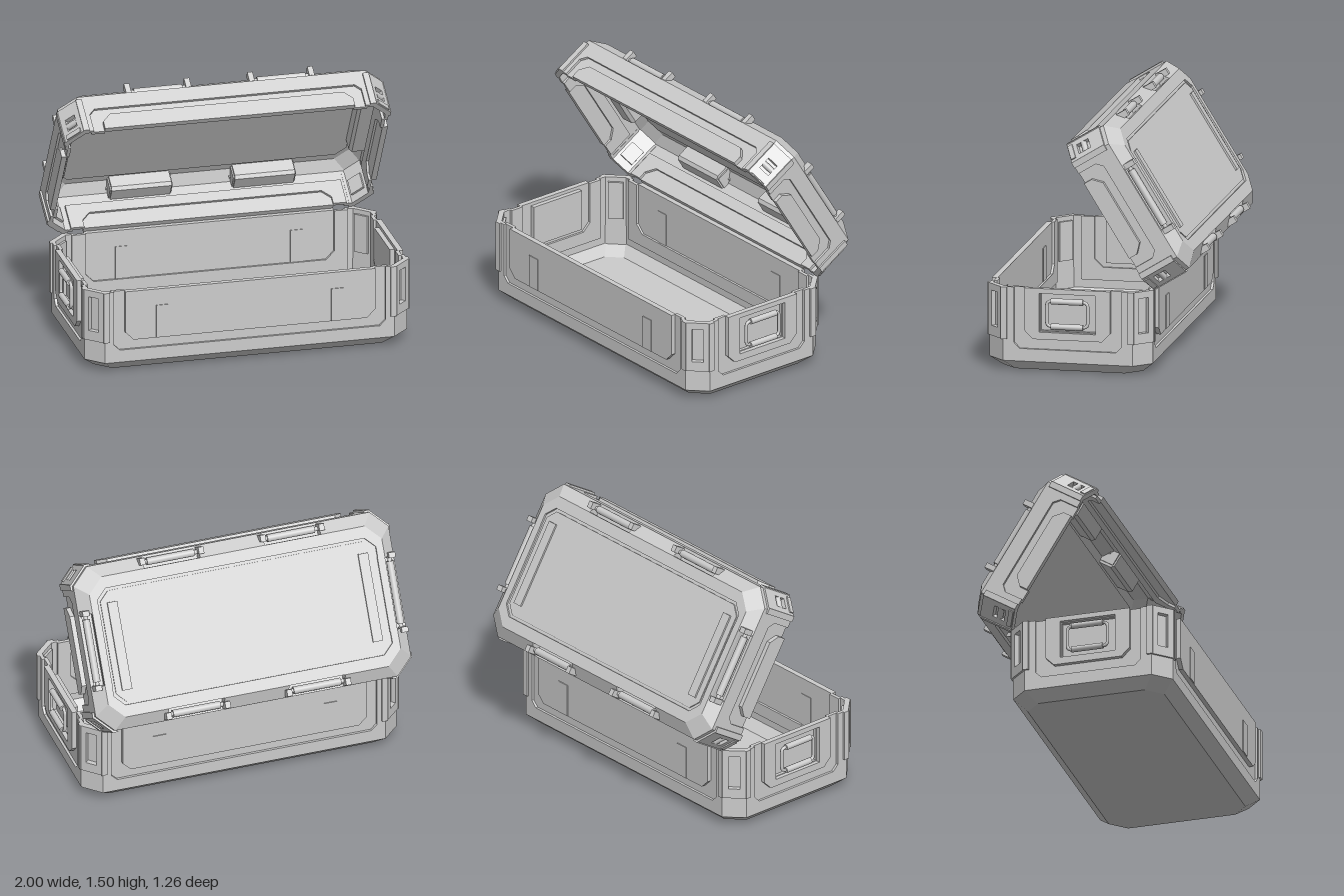
import * as THREE from 'three';
import { ConvexGeometry } from 'three/addons/geometries/ConvexGeometry.js';

const HX = 0.968, HZ = 0.485, C = 0.1;   // half sizes of the wall octagon, corner chamfer
const INSET = 0.07, BEVEL = 0.06;        // sloped edge between wall and floor
const mat = new THREE.MeshStandardMaterial({ color: 0xcccccc });

function add(parent, name, geo, x = 0, y = 0, z = 0) {
  const m = new THREE.Mesh(geo, mat);
  m.name = name;
  m.position.set(x, y, z);
  parent.add(m);
  return m;
}

const toShape = (pts) => new THREE.Shape(pts.map((p) => new THREE.Vector2(...p)));
const rect = (w, y0, y1, cx = 0) => [[cx - w, y0], [cx + w, y0], [cx + w, y1], [cx - w, y1]];
const octagon = (a, b, c) => [[a - c, -b], [a, c - b], [a, b - c], [a - c, b],
  [c - a, b], [-a, b - c], [-a, c - b], [c - a, -b]];

// Flat plate in the xy plane between two depths, optionally with a hole
function plate(pts, z0, z1, hole) {
  const s = toShape(pts);
  if (hole) s.holes.push(toShape(hole));
  const g = new THREE.ExtrudeGeometry(s, { depth: z1 - z0, bevelEnabled: false });
  return g.translate(0, 0, z0);
}

function box(parent, name, x0, x1, y0, y1, z0, z1) {
  return add(parent, name, new THREE.BoxGeometry(x1 - x0, y1 - y0, z1 - z0),
    (x0 + x1) / 2, (y0 + y1) / 2, (z0 + z1) / 2);
}

// Lower outline of a panel that is open at the rim and has clipped bottom corners
const notch = (n, y, ch, H) => [[n, H], [n, y + ch], [n - ch, y], [ch - n, y], [-n, y + ch], [-n, H]];
const uShape = (L, y0, H, n, y, ch) => [[-L, H], [-L, y0], [L, y0], [L, H], ...notch(n, y, ch, H)];

// Extrude a (z, y) profile along x from a to b
function along(pts, a, b) {
  return plate(pts, 0, b - a).rotateY(-Math.PI / 2).translate(b, 0, 0);
}

function grip(parent, name, r, len, x, y, z) {
  add(parent, name, new THREE.CylinderGeometry(r, r, len, 14), x, y, z).rotation.z = Math.PI / 2;
}

// Pocket in the sloped edge with a bar between two tabs
function barPocket(side, cx, w) {
  const a = cx - w, b = cx + w;
  add(side, 'barPocket', along([[-0.07, 0], [-0.08, 0.07], [-0.015, 0.07], [-0.015, 0.12],
    [-0.1, 0.12], [-0.115, 0.1], [-0.115, 0]], a, b));
  for (const x of [a, b]) {
    add(side, 'pocketEnd', along([[-0.1, 0], [-0.07, 0], [0, 0.06], [-0.004, 0.11], [-0.1, 0.11]], x - 0.008, x + 0.008));
    box(side, 'barTab', x - 0.016, x + 0.016, -0.012, 0.06, -0.048, -0.008);
  }
  grip(side, 'bar', 0.013, 2 * w, cx, 0.035, -0.035);
  grip(side, 'barGrip', 0.022, 2 * w - 0.07, cx, 0.035, -0.035);
}

// One side: frame, sunken strip, raised panel and sloped edge; local +z is outward
function buildSide(tray, half, o, dist, angle, pockets, isEnd) {
  const side = new THREE.Group();
  side.name = isEnd ? 'endWall' : 'longWall';
  side.rotation.y = angle;
  side.position.set(Math.sin(angle) * dist, 0, Math.cos(angle) * dist);
  tray.add(side);
  const L = half - C, n1 = L - (isEnd ? 0.065 : 0.053), n2 = n1 - 0.068, H = o.H;
  add(side, 'wallFrame', plate(uShape(L, BEVEL, H, n1, o.y1, 0.035), -0.02, 0));
  add(side, 'sunkenStrip', plate(uShape(n1 + 0.012, o.y1 - 0.012, H, n2, o.y2, 0.05), -0.036, -0.015));
  const hasHandle = isEnd && o.handles;
  add(side, 'raisedPanel', plate(notch(n2 + 0.003, o.y2 - 0.003, 0.05, H), -0.022, 0.011,
    hasHandle && rect(0.168, 0.24, 0.47)));
  for (const s of [-1, 1]) {
    const p = s * (L - 0.007);
    box(side, 'cornerGuardReturn', p - 0.018, p + 0.018, o.postY, H, -0.022, 0.012);
    if (!isEnd && o.handles) box(side, 'panelRib', s * 0.525 - 0.04, s * 0.525 + 0.04, 0.2, 0.4, -0.026, 0.016);
  }
  if (hasHandle) buildHandle(side);

  // Sloped edge, cut into runs between the pockets
  const E0 = half - INSET - 0.09;
  const stops = [[-E0, -L], ...pockets.flatMap(([c, w]) => [[c - w, c - w], [c + w, c + w]]), [E0, L]];
  for (let i = 0; i < stops.length; i += 2) {
    const pts = [stops[i], stops[i + 1]].flatMap(([t, w]) => [
      new THREE.Vector3(t, 0, -INSET), new THREE.Vector3(t, 0.022, -INSET - 0.01),
      new THREE.Vector3(w, BEVEL, 0), new THREE.Vector3(w, BEVEL + 0.012, -0.02)]);
    add(side, 'slopedEdge', new ConvexGeometry(pts));
  }
  pockets.forEach(([c, w]) => barPocket(side, c, w));
}

// Carrying handle in its recess on the end panel
function buildHandle(side) {
  const frame = rect(0.18, 0.23, 0.48);
  add(side, 'handleRecess', plate(frame, -0.05, -0.035));
  add(side, 'recessRim', plate(frame, -0.05, -0.015, rect(0.163, 0.245, 0.465)));
  const path = new THREE.CurvePath();
  const w = 0.122, y0 = 0.278, y1 = 0.428, r = 0.03, z = 0.01;
  const v = (x, y) => new THREE.Vector3(x, y, z);
  const corners = [[w, y0, 1, 1], [w, y1, -1, 0], [-w, y1, 1, 0], [-w, y0, 1, 1]];
  const pts = corners.map(([x, y]) => v(x, y));
  const ends = pts.map((p, i) => {
    const prev = pts[(i + 3) % 4], next = pts[(i + 1) % 4];
    return [prev, next].map((q) => p.clone().add(q.clone().sub(p).setLength(r)));
  });
  ends.forEach(([a, b], i) => {
    path.add(new THREE.QuadraticBezierCurve3(a, pts[i], b));
    path.add(new THREE.LineCurve3(b, ends[(i + 1) % 4][0]));
  });
  add(side, 'handleRing', new THREE.TubeGeometry(path, 80, 0.01, 8, true));
  for (const y of [y0, y1]) grip(side, 'handleGrip', 0.018, 0.19, 0, y, z + 0.004);
}

// Chamfered corner: wall, slotted guard and sloped facet
function buildCorner(tray, o, sx, sz) {
  const corner = new THREE.Group();
  corner.name = 'corner';
  corner.position.set(sx * (HX - C / 2), 0, sz * (HZ - C / 2));
  corner.rotation.y = Math.atan2(sx, sz);
  tray.add(corner);
  const w = C * Math.SQRT1_2, slot = rect(0.034, ...o.slot);
  add(corner, 'cornerWall', plate(rect(w, BEVEL, o.H), -0.02, 0, slot));
  add(corner, 'cornerGuard', plate(rect(w + 0.004, o.postY, o.H), -0.004, 0.012, slot));
  add(corner, 'slotBack', plate(rect(0.045, o.slot[0] - 0.012, o.slot[1] + 0.012), -0.034, -0.018));
  if (!o.handles) {
    grip(corner, 'cornerPin', 0.018, 0.07, 0, (o.slot[0] + o.slot[1]) / 2, -0.004);
    box(corner, 'cornerLug', -0.05, 0.05, o.H - 0.035, o.H - 0.005, 0, 0.02);
  }
  const a = HX - INSET, b = HZ - INSET, V = (x, y, z) => new THREE.Vector3(sx * x, y, sz * z);
  add(tray, 'cornerFacet', new ConvexGeometry([
    V(HX, BEVEL, HZ - C), V(HX - C, BEVEL, HZ), V(a, 0, b - 0.09), V(a - 0.09, 0, b),
    V(HX - 0.02, BEVEL + 0.012, HZ - C), V(HX - C, BEVEL + 0.012, HZ - 0.02),
    V(a - 0.01, 0.022, b - 0.09), V(a - 0.09, 0.022, b - 0.01)]));
}

// Open tray standing on its floor; used upright for the base and flipped for the lid
function buildTray(name, o) {
  const tray = new THREE.Group();
  tray.name = name;
  for (const k of [0, 1]) {
    buildSide(tray, HX, o, HZ, k * Math.PI, o.longPockets, false);
    buildSide(tray, HZ, o, HX, Math.PI / 2 + k * Math.PI, o.endPockets, true);
  }
  for (const sx of [-1, 1]) for (const sz of [-1, 1]) buildCorner(tray, o, sx, sz);
  const edge = octagon(HX - INSET, HZ - INSET, 0.09);
  const flat = (g) => g.rotateX(-Math.PI / 2);
  if (o.handles) {
    add(tray, 'floor', flat(plate(edge, 0, 0.022)));
  } else {
    // Top with a sunken field and two ribs
    add(tray, 'topBorder', flat(plate(edge, 0, 0.022, octagon(0.855, 0.345, 0.06))));
    add(tray, 'topField', flat(plate(octagon(0.865, 0.355, 0.06), 0.012, 0.03)));
    add(tray, 'topInset', flat(plate(octagon(0.838, 0.328, 0.055), 0.005, 0.014)));
    for (const s of [-1, 1]) box(tray, 'topRib', s * 0.77 - 0.03, s * 0.77 + 0.03, -0.006, 0.01, -0.26, 0.26);
  }
  return tray;
}

export function createModel() {
  const model = new THREE.Group();
  model.name = 'openCrate';

  const base = buildTray('base', { H: 0.5, y1: 0.135, y2: 0.2, postY: 0.19, slot: [0.25, 0.46],
    handles: true, longPockets: [], endPockets: [] });
  base.position.z = 0.135;
  model.add(base);

  // Lid swung open about the rear rim
  const lid = buildTray('lidShell', { H: 0.31, y1: 0.155, y2: 0.21, postY: 0.085, slot: [0.17, 0.25],
    handles: false, longPockets: [[-0.37, 0.18], [0.37, 0.18]], endPockets: [[0, 0.22]] });
  lid.scale.y = -1;
  lid.position.set(0, 0.31, 0.495);
  const hinge = new THREE.Group();
  hinge.name = 'lid';
  hinge.position.set(0, 0.5, -0.36);
  hinge.rotation.x = -58.2 * Math.PI / 180;
  hinge.add(lid);
  model.add(hinge);
  return model;
}
